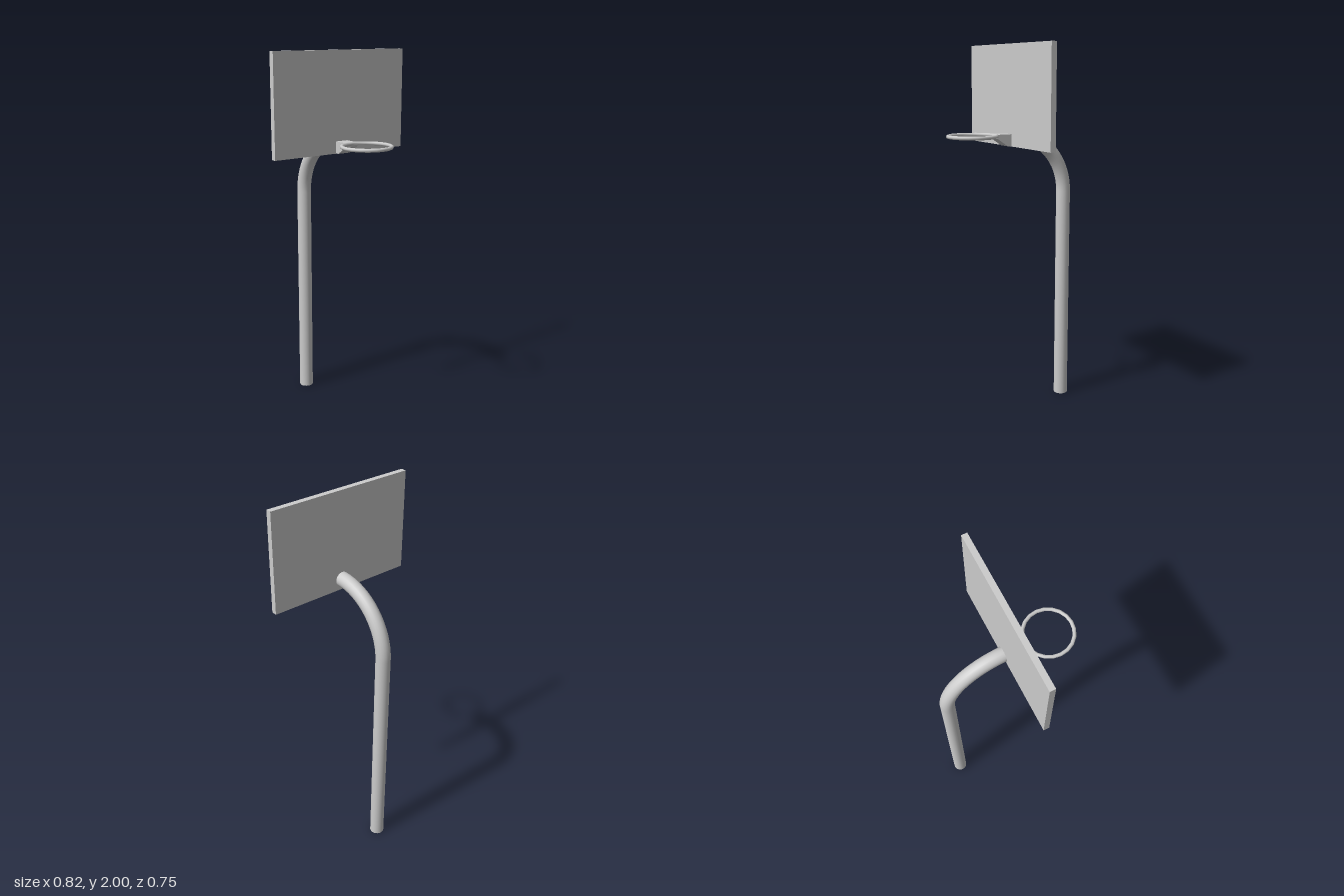
import * as THREE from 'three';

export function createModel() {
  const group = new THREE.Group();
  const material = new THREE.MeshStandardMaterial({ color: 0xcccccc });
  const add = (name, geometry, x, y, z) => {
    const mesh = new THREE.Mesh(geometry, material);
    mesh.name = name;
    mesh.position.set(x, y, z);
    group.add(mesh);
    return mesh;
  };

  const poleRadius = 0.039, bendRadius = 0.324, bendY = 1.205, armEndZ = -0.011;

  // Upright pole with a closed foot, open where it meets the bend
  const poleZ = armEndZ - bendRadius;
  add('pole', new THREE.CylinderGeometry(poleRadius, poleRadius, bendY, 20, 1, true), 0, bendY / 2, poleZ);
  add('poleFoot', new THREE.CircleGeometry(poleRadius, 20).rotateX(Math.PI / 2), 0, 0, poleZ);

  // Quarter bend from the pole forward to the backboard, with its end cap
  add('poleBend', new THREE.TorusGeometry(bendRadius, poleRadius, 20, 16, Math.PI / 2).rotateY(Math.PI / 2), 0, bendY, armEndZ);
  add('bendCap', new THREE.CircleGeometry(poleRadius, 20), 0, bendY + bendRadius, armEndZ);

  // Backboard
  add('backboard', new THREE.BoxGeometry(0.824, 0.53, 0.03), 0, 1.735, 0.007);

  // Wedge bracket: side profile (z, y) extruded across x
  const profile = new THREE.Shape([
    [0.02, 1.472], [0.044, 1.472], [0.107, 1.514], [0.107, 1.535], [0.02, 1.535],
  ].map(([z, y]) => new THREE.Vector2(-z, y)));
  const bracket = new THREE.ExtrudeGeometry(profile, { depth: 0.074, bevelEnabled: false });
  bracket.translate(0, 0, -0.037).rotateY(Math.PI / 2);
  add('hoopBracket', bracket, 0, 0, 0);

  // Hoop
  add('hoop', new THREE.TorusGeometry(0.1275, 0.0098, 8, 20).rotateX(Math.PI / 2), 0, 1.529, 0.235);

  return group;
}
